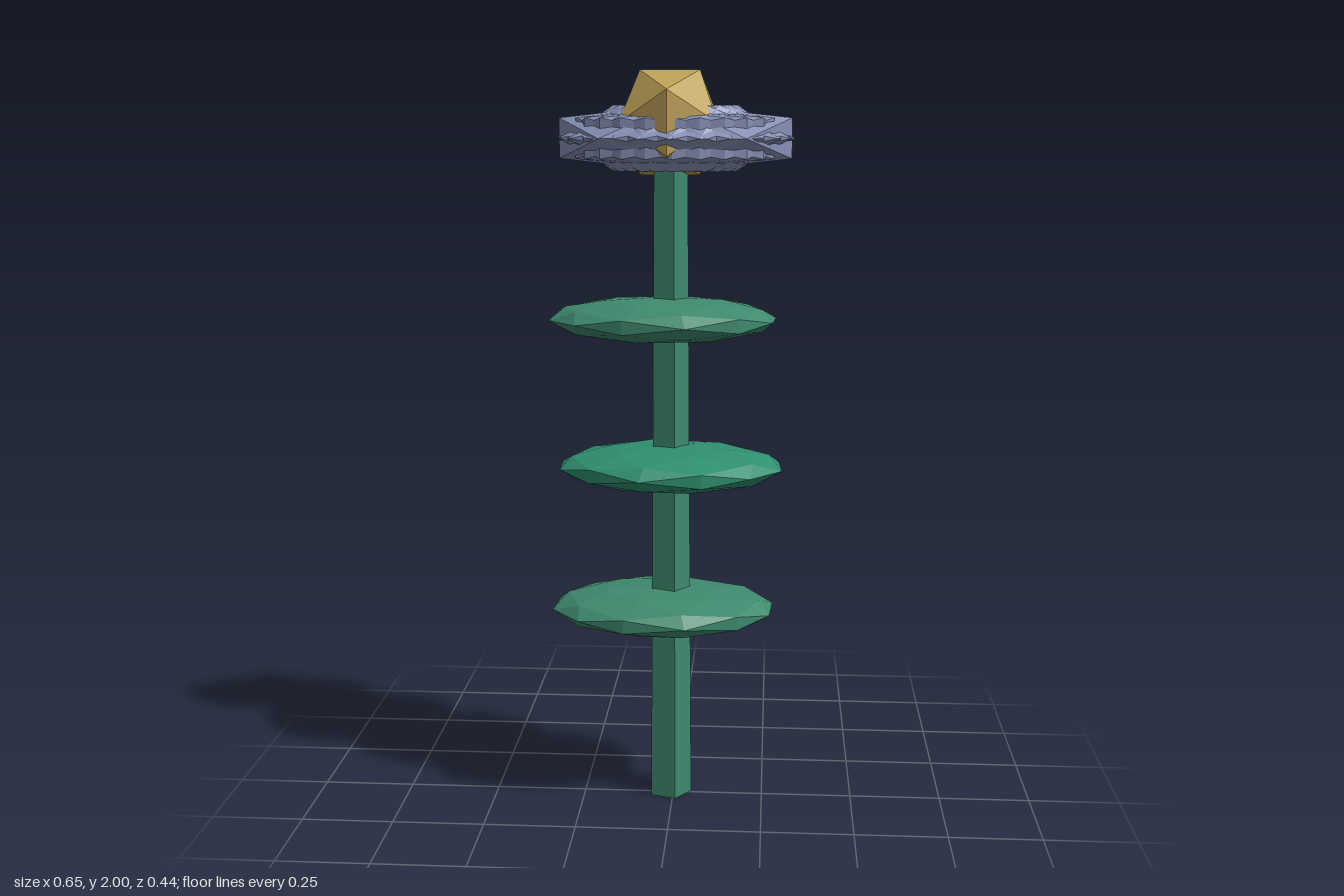
import * as THREE from 'three';

const material = (color) => new THREE.MeshStandardMaterial({ color, flatShading: true });

// Faceted ellipsoid: an icosahedron turned about y, then stretched
function ellipsoid(name, mat, detail, turn, scale, position) {
  const geometry = new THREE.IcosahedronGeometry(1, detail);
  geometry.rotateY(turn);
  geometry.scale(...scale);
  geometry.computeVertexNormals();
  const mesh = new THREE.Mesh(geometry, mat);
  mesh.name = name;
  mesh.position.set(...position);
  return mesh;
}

export function createModel() {
  const model = new THREE.Group();
  model.name = 'flower';
  const green = material(0x3f8a6e);
  const brightGreen = material(0x2f8f70);
  const violet = material(0x8790b5);
  const gold = material(0xbfa258);

  // Five-sided tapering stem with one corner towards +x
  const stemGeometry = new THREE.CylinderGeometry(0.048, 0.061, 1.8, 5);
  stemGeometry.rotateY(Math.PI / 2);
  const stem = new THREE.Mesh(stemGeometry, green);
  stem.name = 'stem';
  stem.position.set(-0.011, 0.9, -0.008);
  model.add(stem);

  // Three flat leaves, the middle one turned the other way
  for (let i = 0; i < 3; i++) {
    const middle = i === 1;
    model.add(ellipsoid('leaf', middle ? brightGreen : green, 1, middle ? -0.23 : 0.23,
      [0.31, 0.06, 0.221], [middle ? -0.007 : -0.028, 0.55 + i * 0.4, middle ? 0.008 : 0.002]));
  }

  // Overlapping spiky petals, each turned a step further
  const petals = new THREE.Group();
  petals.name = 'petals';
  const count = 12;
  for (let i = 0; i < count; i++) {
    const turn = (i * Math.PI) / count;
    const length = i === count / 2 ? 0.36 : 0.315;
    petals.add(ellipsoid('petal', violet, 0, turn, [length, 0.1, 0.15], [0.004, 1.825, -0.01]));
  }
  model.add(petals);

  // Flower centre
  model.add(ellipsoid('flowerCentre', gold, 0, 0, [0.15, 0.159, 0.161], [-0.01, 1.865, -0.012]));
  return model;
}
